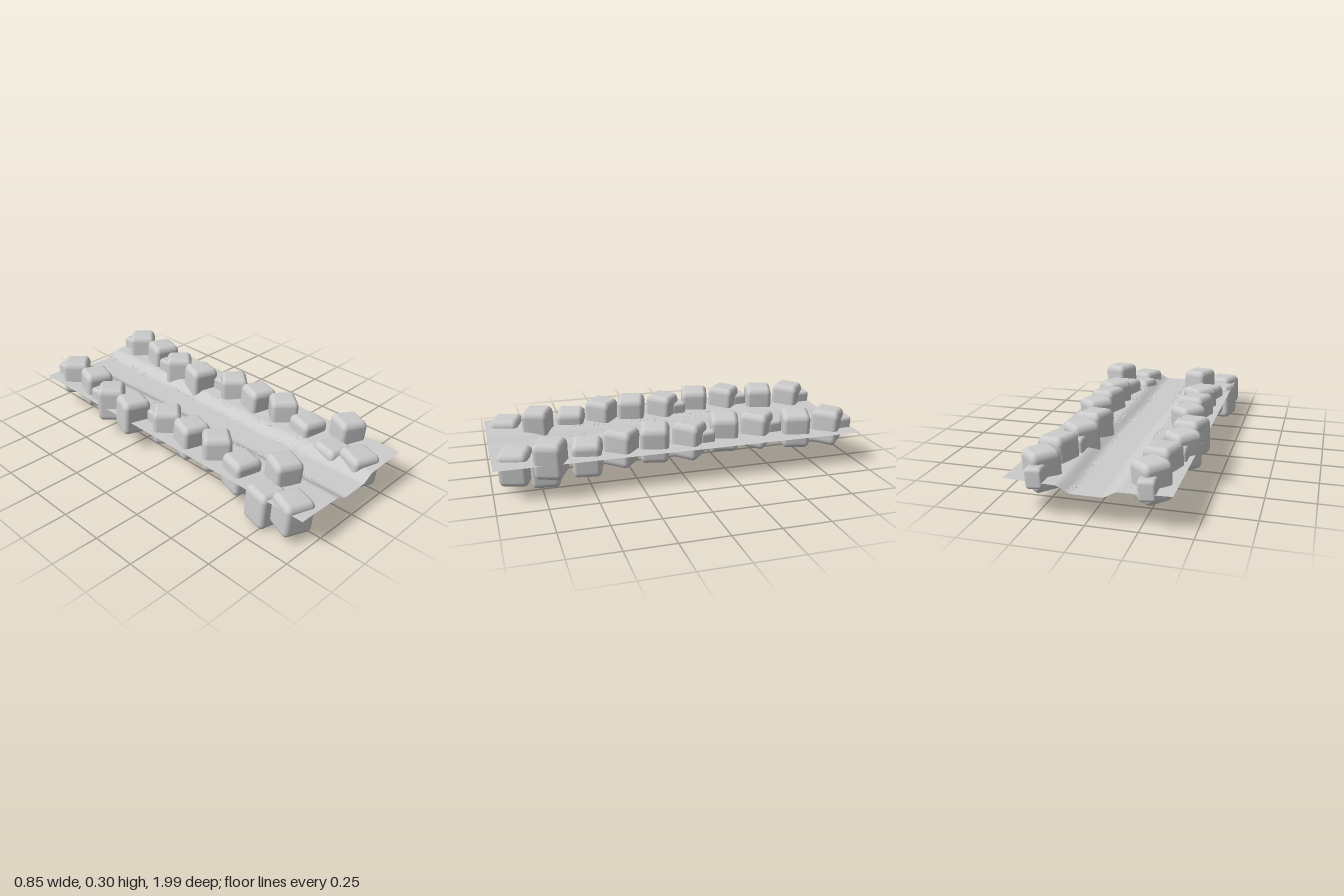
import * as THREE from 'three';
import { RoundedBoxGeometry } from 'three/addons/geometries/RoundedBoxGeometry.js';
import { mergeVertices } from 'three/addons/utils/BufferGeometryUtils.js';

const stone = new THREE.MeshStandardMaterial({ color: 0xcccccc });
const sheet = new THREE.MeshStandardMaterial({ color: 0xcccccc, side: THREE.DoubleSide });

// Height of the path across its width: a shallow trough between two banks
function groundHeight(x) {
  const a = Math.abs(x);
  return 0.137 + 0.034 * THREE.MathUtils.smoothstep(a, 0.07, 0.15) + 0.007 * THREE.MathUtils.smoothstep(a, 0.15, 0.39);
}

function seeded(seed) {
  let s = seed;
  return () => {
    s = (s * 16807) % 2147483647;
    return s / 2147483647;
  };
}

// Worn block: narrower foot, domed top, slightly skewed
function makeRockGeometry() {
  const g = new RoundedBoxGeometry(1, 1, 1, 4, 0.17);
  const p = g.attributes.position;
  for (let i = 0; i < p.count; i++) {
    const x = p.getX(i), y = p.getY(i), z = p.getZ(i);
    const taper = 0.97 + 0.07 * y - 0.22 * Math.max(0, y - 0.2);
    const dome = y > 0 ? 0.2 * y * (0.5 - x * x - z * z) : 0;
    p.setXYZ(i, x * taper * (1 + 0.06 * z), y + dome - 0.03, z * taper * (1 - 0.05 * x));
  }
  g.deleteAttribute('normal');
  g.deleteAttribute('uv');
  const merged = mergeVertices(g, 1e-4);
  merged.computeVertexNormals();
  return merged;
}

// Tuft: short bent leaves lying close to the ground
function makeTuftGeometry(x0, z0, seed) {
  const rand = seeded(seed);
  const pos = [];
  for (let i = 0; i < 20; i++) {
    const x = x0 + (rand() - 0.5) * 0.03, z = z0 + (rand() - 0.5) * 0.07;
    const angle = rand() * Math.PI * 2, length = 0.013 + rand() * 0.012;
    const dx = Math.cos(angle), dz = Math.sin(angle), w = 0.0035;
    const y = groundHeight(x) + 0.001;
    const mx = x + dx * length * 0.55, mz = z + dz * length * 0.55, my = y + 0.008;
    const tx = x + dx * length, tz = z + dz * length, ty = y + 0.005;
    const a = [mx - dz * w, my, mz + dx * w], b = [mx + dz * w, my, mz - dx * w];
    pos.push(x, y, z, ...a, ...b, ...a, tx, ty, tz, ...b);
  }
  const g = new THREE.BufferGeometry();
  g.setAttribute('position', new THREE.Float32BufferAttribute(pos, 3));
  g.computeVertexNormals();
  return g;
}

export function createModel() {
  const model = new THREE.Group();

  // Path sheet with gently winding trough edges
  const path = new THREE.PlaneGeometry(0.795, 1.985, 64, 40).rotateX(-Math.PI / 2).translate(-0.004, 0, 0.005);
  const p = path.attributes.position;
  for (let i = 0; i < p.count; i++) {
    p.setY(i, groundHeight(p.getX(i) + 0.006 * Math.sin(p.getZ(i) * 5)));
  }
  path.computeVertexNormals();
  const pathMesh = new THREE.Mesh(path, sheet);
  pathMesh.name = 'path';
  model.add(pathMesh);

  // Stones of one border: x, centre y, z, turn, width, height
  const stones = [
    [-0.275, 0.195, -0.855, 0.8, 0.155, 0.19],
    [-0.28, 0.195, -0.66, -0.3, 0.16, 0.19],
    [-0.33, 0.195, -0.45, 0.8, 0.155, 0.19],
    [-0.335, 0.195, -0.26, -0.3, 0.16, 0.19],
    [-0.275, 0.195, -0.04, 0.8, 0.155, 0.19],
    [-0.28, 0.195, 0.15, -0.3, 0.16, 0.19],
    [-0.27, 0.195, 0.33, 0.85, 0.155, 0.19],
    [-0.28, 0.152, 0.51, -0.25, 0.16, 0.18],
    [-0.335, 0.1, 0.72, -0.2, 0.16, 0.19],
    [-0.195, 0.198, 0.71, -0.42, 0.155, 0.185],
    [-0.322, 0.126, 0.875, -0.35, 0.165, 0.175],
    [-0.28, 0.188, -0.945, 0.05, 0.09, 0.1],
    [-0.333, 0.188, -0.545, 0.05, 0.09, 0.1],
    [-0.27, 0.188, -0.13, 0.05, 0.09, 0.1],
  ];
  const rock = makeRockGeometry();
  for (const [name, offset] of [['rightStoneBorder', 0], ['leftStoneBorder', 0.527]]) {
    const border = new THREE.Group();
    border.name = name;
    for (const [x, y, z, turn, width, height] of stones) {
      const m = new THREE.Mesh(rock, stone);
      m.name = width < 0.1 ? 'smallStone' : 'stone';
      m.position.set(x + offset, y, z);
      m.rotation.set(0.02, turn, -0.06);
      m.scale.set(width, height, width);
      border.add(m);
    }
    model.add(border);
  }

  // Grass tufts in columns: x, then the z positions
  const columns = [
    [-0.2, [-0.28, -0.18]],
    [-0.155, [-0.28, -0.18, 0.05, 0.15, 0.37, 0.47]],
    [-0.08, [0.47, 0.55, 0.63, 0.7, 0.78]],
    [0.07, [-0.95, -0.74, -0.64, -0.33, -0.22, 0.06, 0.16, 0.47, 0.57]],
    [0.132, [-0.08, 0.03, 0.25, 0.35, 0.57]],
  ];
  const grass = new THREE.Group();
  grass.name = 'grass';
  let seed = 11;
  for (const [x, zs] of columns) {
    for (const z of zs) {
      const m = new THREE.Mesh(makeTuftGeometry(x, z, (seed += 7919)), sheet);
      m.name = 'grassTuft';
      grass.add(m);
    }
  }
  model.add(grass);
  return model;
}
